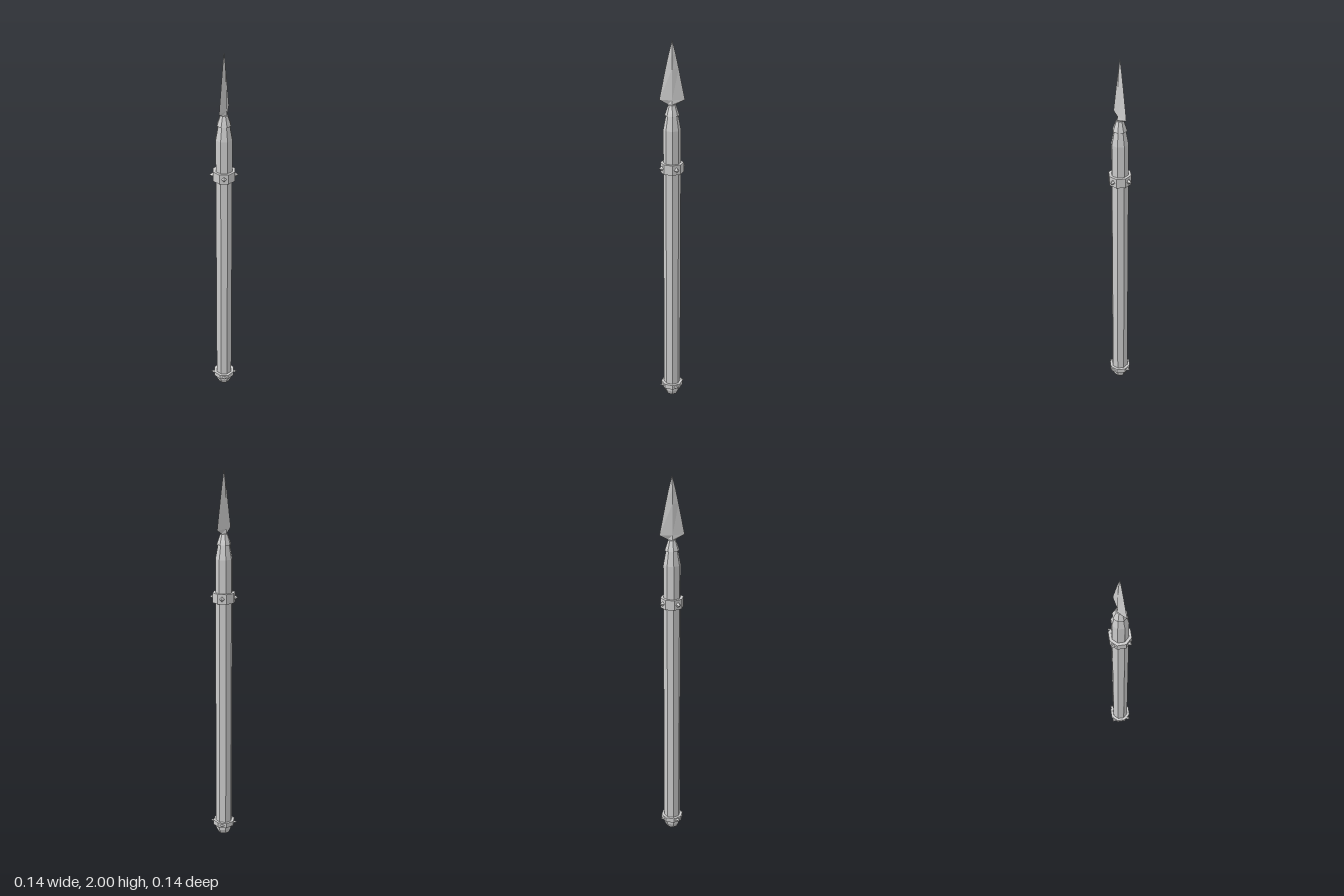
import * as THREE from 'three';

const material = new THREE.MeshStandardMaterial({ color: 0xcccccc, flatShading: true });

function add(parent, name, geometry) {
  const mesh = new THREE.Mesh(geometry.index ? geometry.toNonIndexed() : geometry, material);
  mesh.geometry.computeVertexNormals();
  mesh.name = name;
  parent.add(mesh);
  return mesh;
}

// Eight-sided turned part from [radius, height] pairs, bottom to top
function turned(profile) {
  return new THREE.LatheGeometry(profile.map(([r, y]) => new THREE.Vector2(r, y)), 8);
}

// Diamond cross-sections [y, halfX, halfZ], bottom to top
function diamondLoft(sections) {
  const geometry = new THREE.CylinderGeometry(1, 1, 1, 4, sections.length - 1, true);
  const pos = geometry.attributes.position;
  for (let i = 0; i < pos.count; i++) {
    const k = Math.round((pos.getY(i) + 0.5) * (sections.length - 1));
    const [y, hx, hz] = sections[k];
    pos.setXYZ(i, pos.getX(i) * hx, y, pos.getZ(i) * hz);
  }
  return geometry;
}

// Octagonal band with a pyramid spike on every second face
function spikedBand(name, y, height, spikeHalfHeight) {
  const band = new THREE.Group();
  band.name = name;
  band.position.y = y;
  const h = height / 2;
  add(band, name + 'Ring', turned([[0.044, -h], [0.06, -h], [0.06, h], [0.044, h]]));
  for (let i = 0; i < 4; i++) {
    const spike = new THREE.ConeGeometry(1, 0.022, 4);
    spike.scale(0.015, 1, spikeHalfHeight);
    spike.rotateX(Math.PI / 2);
    spike.translate(0, 0, 0.064);
    add(band, name + 'Spike', spike).rotation.y = Math.PI / 8 + (i * Math.PI) / 2;
  }
  return band;
}

export function createModel() {
  const model = new THREE.Group();
  model.name = 'spear';

  // Shaft with a tapered top
  add(model, 'shaft', turned([[0.045, 0.045], [0.045, 1.55], [0.031, 1.625]]));

  // Butt cap
  add(model, 'buttCap', turned([[0, 0], [0.031, 0], [0.044, 0.026], [0.045, 0.05]]));

  // Socket that holds the blade
  add(model, 'socket', turned([[0, 1.622], [0.038, 1.624], [0.033, 1.64], [0.02, 1.677], [0, 1.68]]));

  // Double-edged blade with barbs
  add(model, 'blade', diamondLoft([
    [1.668, 0.016, 0.018], [1.68, 0.016, 0.022], [1.703, 0.013, 0.064],
    [1.86, 0.011, 0.033], [1.93, 0.008, 0.018], [2, 0.0002, 0.0002],
  ]));

  model.add(spikedBand('upperBand', 1.35, 0.052, 0.016));
  model.add(spikedBand('lowerBand', 0.062, 0.026, 0.009));
  return model;
}
